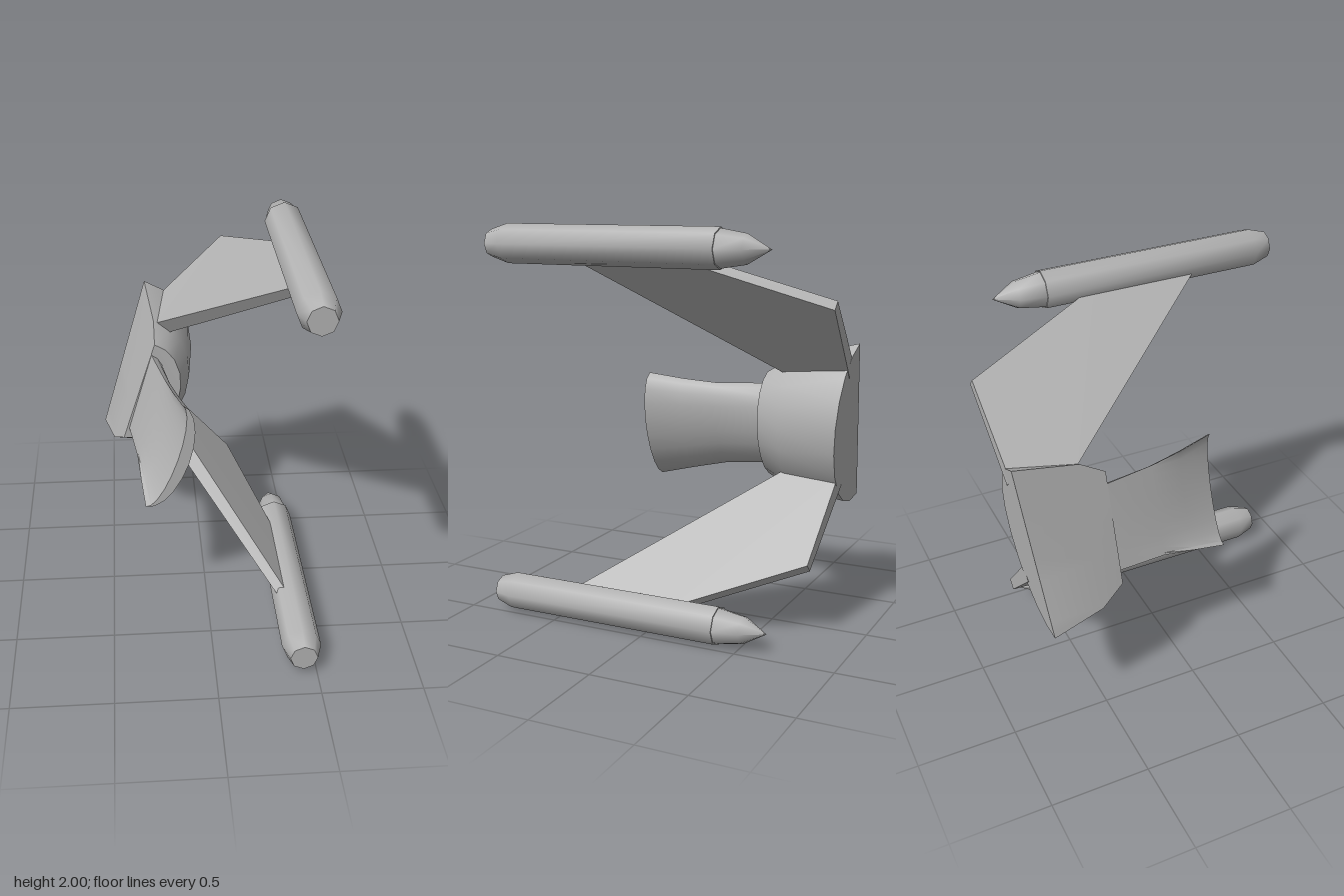
import * as THREE from 'three';
import { toCreasedNormals } from 'three/addons/utils/BufferGeometryUtils.js';

const ARC = 10;
const sternZ = (y) => -0.72 - 0.083 * y; // slanted stern plane

// Skins equal-length rings and caps both ends; rings run counter-clockwise in the projection
function loft(rings, project, crease) {
  const n = rings[0].length;
  const index = [];
  for (let k = 0; k < rings.length - 1; k++) {
    for (let j = 0; j < n; j++) {
      const a = k * n + j, b = k * n + (j + 1) % n;
      index.push(a, b, b + n, a, b + n, a + n);
    }
  }
  const last = (rings.length - 1) * n;
  const cap = (ring) => THREE.ShapeUtils.triangulateShape(ring.map(project), []);
  for (const [a, b, c] of cap(rings[0])) index.push(a, c, b);
  for (const [a, b, c] of cap(rings[rings.length - 1])) index.push(last + a, last + b, last + c);
  const geometry = new THREE.BufferGeometry();
  geometry.setAttribute('position', new THREE.Float32BufferAttribute(rings.flat(2), 3));
  geometry.setIndex(index);
  return toCreasedNormals(geometry, crease);
}

// Crescent section: an outer arc from bottom tip to top tip, then an inner arc back
function crescent(top, bottom, bulge, hollow, zAt) {
  const mx = (top[0] + bottom[0]) / 2, my = (top[1] + bottom[1]) / 2;
  const hx = (top[0] - bottom[0]) / 2, hy = (top[1] - bottom[1]) / 2;
  const len = Math.hypot(hx, hy);
  const point = (a, depth) => {
    const c = -Math.cos(a), s = Math.sin(a) * depth;
    const x = mx + hx * c + (hy / len) * s;
    const y = my + hy * c - (hx / len) * s;
    return [x, y, zAt(y)];
  };
  const ring = [];
  for (let i = 0; i <= ARC; i++) ring.push(point(Math.PI * i / ARC, bulge));
  for (let i = ARC - 1; i > 0; i--) ring.push(point(Math.PI * i / ARC, hollow));
  return ring;
}

export function createModel() {
  const model = new THREE.Group();
  model.name = 'spacecraft';
  const hullGrey = new THREE.MeshStandardMaterial({ color: 0xb4b4b4 });
  hullGrey.name = 'hull grey';
  const add = (name, geometry) => {
    const mesh = new THREE.Mesh(geometry, hullGrey);
    mesh.name = name;
    model.add(mesh);
    return mesh;
  };
  const frontal = (p) => new THREE.Vector2(p[0], p[1]);
  const sideways = (p) => new THREE.Vector2(p[2], p[1]);

  // Half-round rear hull with a flat outer face
  add('rearHull', loft([
    crescent([-0.28, 1.41], [-0.53, 0.57], 0.38, 0, sternZ),
    crescent([-0.24, 1.32], [-0.475, 0.61], 0.3, 0, () => -0.49),
    crescent([-0.24, 1.24], [-0.42, 0.68], 0.22, 0, () => -0.36),
  ], frontal, 0.7));

  // Flared forward hull, scooped out towards the bow
  add('forwardHull', loft([
    crescent([-0.26, 1.18], [-0.39, 0.74], 0.123, 0, () => -0.37),
    crescent([-0.2, 1.17], [-0.35, 0.715], 0.098, 0, () => -0.1),
    crescent([-0.165, 1.185], [-0.335, 0.675], 0.115, 0.038, () => 0.08),
    crescent([-0.127, 1.21], [-0.317, 0.63], 0.135, 0.075, () => 0.265),
  ], frontal, 0.6));

  // Engine pod profile from bow to nose: radius, z
  const lathe = (points) => toCreasedNormals(
    new THREE.LatheGeometry(points.map(([r, z]) => new THREE.Vector2(r, z)), 8).rotateX(Math.PI / 2), 0.87);
  const podBody = lathe([[0, -0.39], [0.098, -0.39], [0.098, 0.76], [0.068, 0.855], [0, 0.855]]);
  const podNose = lathe([[0, -0.64], [0.07, -0.52], [0.092, -0.385]]);

  for (const [side, up] of [['upper', 1], ['lower', -1]]) {
    const yAt = (y) => 1 + up * (y - 1);

    // Swept pylon: x, y, z (null follows the stern plane), half thickness offset
    let outline = [
      [-0.19, 1.28, -0.49, 0.03],
      [0.4, 1.87, 0.44, 0.018],
      [0.4, 1.87, -0.13, 0.018],
      [0.17, 1.64, null, 0.02],
      [-0.19, 1.28, null, 0.03],
    ];
    if (up < 0) outline = outline.reverse();
    const face = (sign) => outline.map(([x, y, z, t]) => [
      x - sign * t,
      yAt(y + sign * t),
      z === null ? sternZ(yAt(y)) : z,
    ]);
    add(side + 'Pylon', loft([face(-1), face(1)], sideways, 0.3));

    // Engine pod with its pointed tail
    add(side + 'Pod', podBody).position.set(0.432, yAt(1.902), 0);
    add(side + 'PodTip', podNose).position.set(0.432, yAt(1.902), 0);
  }
  return model;
}
